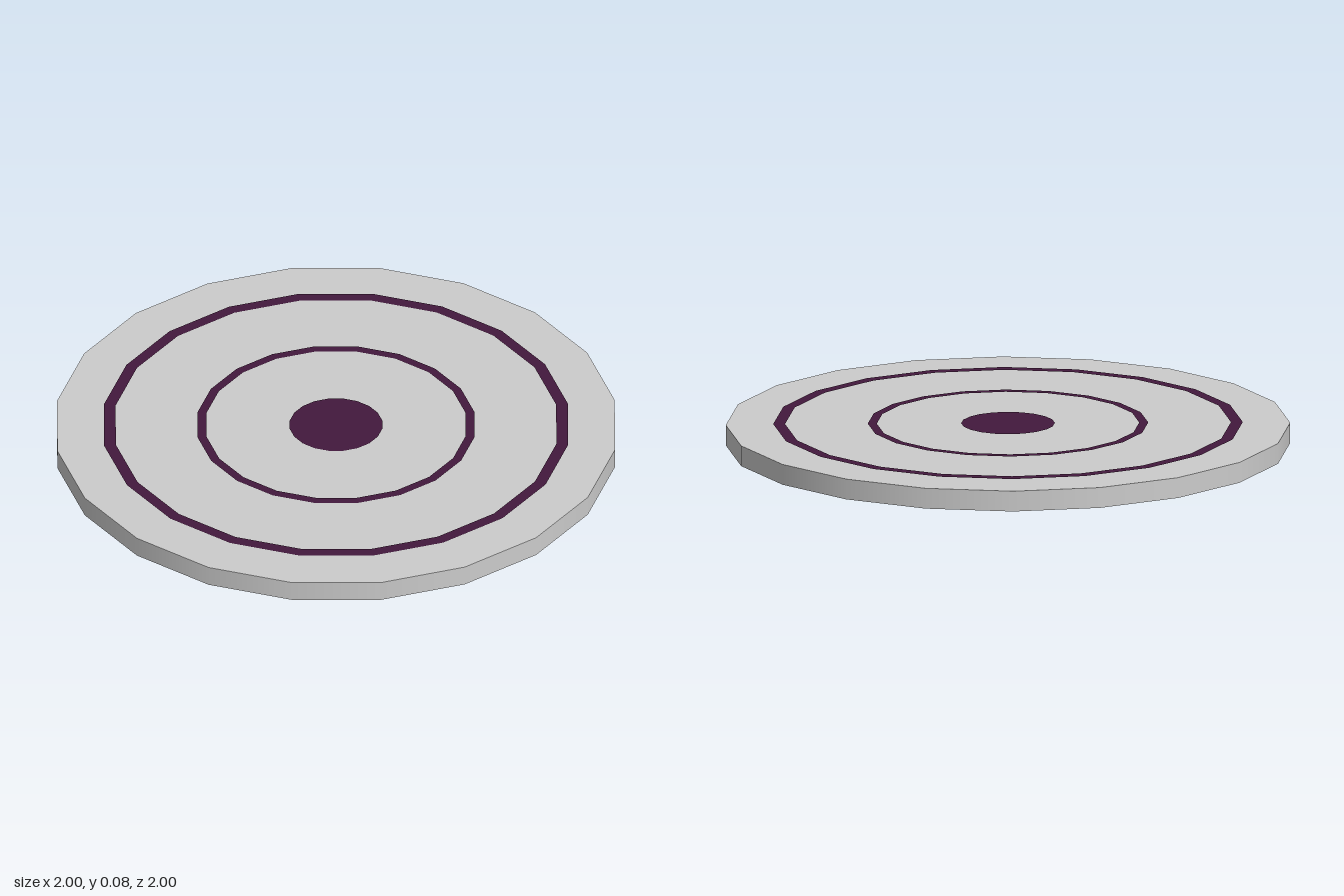
import * as THREE from 'three';

const SIDES = 20;
const BOTTOM = 0.003, TOP = 0.077, LIFT = 0.003;

export function createModel() {
  const group = new THREE.Group();
  const grey = new THREE.MeshStandardMaterial({ color: 0xcccccc });
  const purple = new THREE.MeshStandardMaterial({ color: 0x43193d });

  const add = (name, geometry, material) => {
    const mesh = new THREE.Mesh(geometry, material);
    mesh.name = name;
    group.add(mesh);
    return mesh;
  };

  // Twenty-sided disc with a smooth-shaded rim
  const disc = add('disc', new THREE.CylinderGeometry(1, 1, TOP - BOTTOM, SIDES), grey);
  disc.position.y = (TOP + BOTTOM) / 2;

  // Flat markings, mirrored on both faces
  for (const side of [1, -1]) {
    const face = side > 0 ? 'top' : 'bottom';
    const markings = {
      OuterRing: new THREE.RingGeometry(0.79, 0.832, SIDES),
      InnerRing: new THREE.RingGeometry(0.465, 0.497, SIDES),
      CentreSpot: new THREE.CircleGeometry(0.166, SIDES),
    };
    for (const [name, geometry] of Object.entries(markings)) {
      const mark = add(face + name, geometry, purple);
      mark.rotation.x = -side * Math.PI / 2;
      mark.position.y = side > 0 ? TOP + LIFT : BOTTOM - LIFT;
    }
  }
  return group;
}
